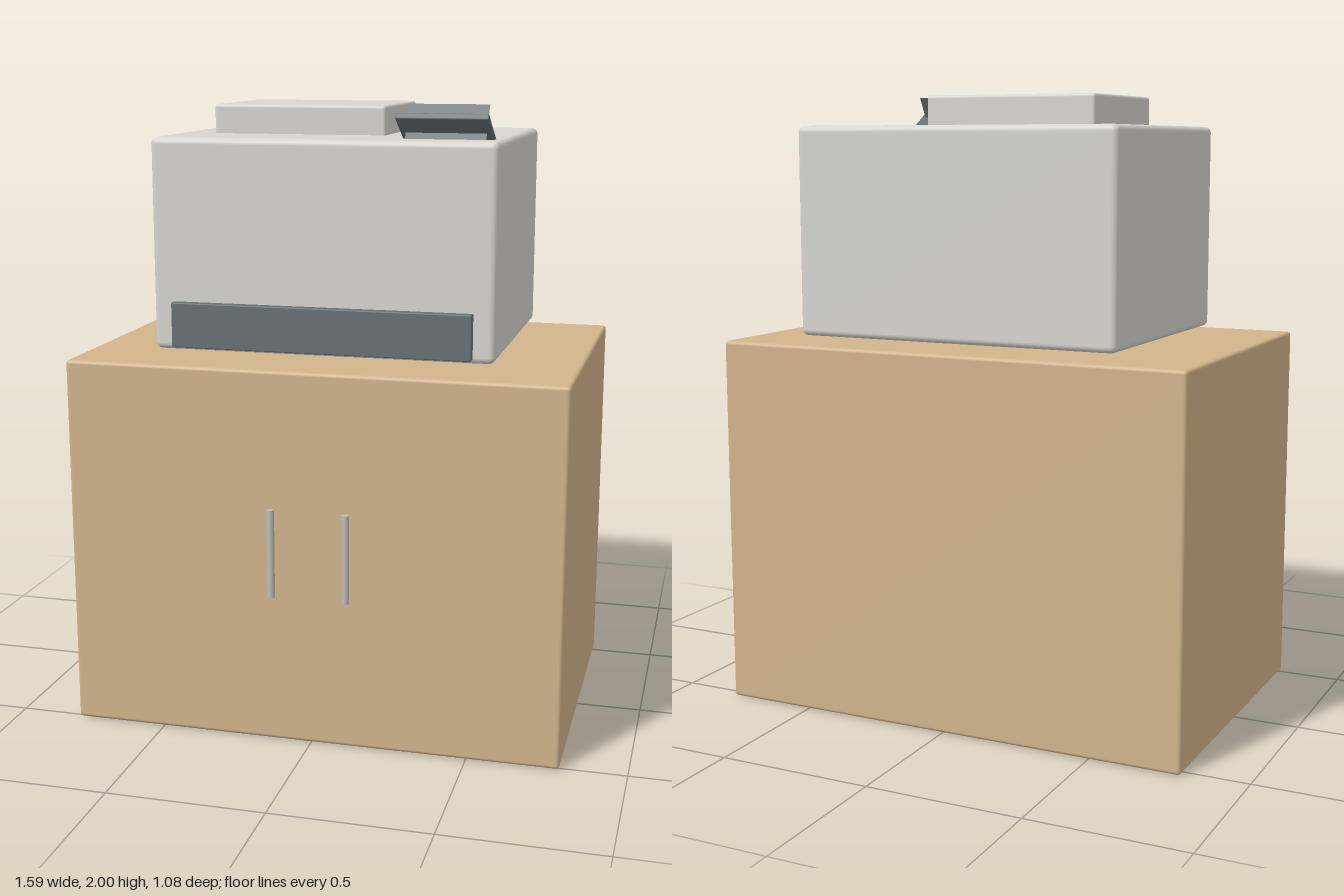
import * as THREE from 'three';
import { RoundedBoxGeometry } from 'three/addons/geometries/RoundedBoxGeometry.js';

function material(name, color, side = THREE.FrontSide) {
  const m = new THREE.MeshStandardMaterial({ color, side });
  m.name = name;
  return m;
}

export function createModel() {
  const model = new THREE.Group();
  model.name = 'printerOnCabinet';

  const wood = material('tanWood', 0xd2b48c);
  const shell = material('lightGrey', 0xd6d5d0);
  const dark = material('darkGrey', 0x667173, THREE.DoubleSide);
  const metal = material('handleMetal', 0xc0bcb4);

  function add(parent, name, geometry, mat, x = 0, y = 0, z = 0) {
    const mesh = new THREE.Mesh(geometry, mat);
    mesh.name = name;
    mesh.position.set(x, y, z);
    parent.add(mesh);
    return mesh;
  }

  // Rounded box given by its extents on each axis
  function block(name, mat, [x0, x1], [y0, y1], [z0, z1], radius) {
    const g = new RoundedBoxGeometry(x1 - x0, y1 - y0, z1 - z0, 4, radius);
    return add(model, name, g, mat, (x0 + x1) / 2, (y0 + y1) / 2, (z0 + z1) / 2);
  }

  // Cabinet with two upright door handles
  block('cabinet', wood, [-0.797, 0.792], [0.002, 1.207], [-0.542, 0.518], 0.012);
  for (const side of [-1, 1]) {
    add(model, side > 0 ? 'leftHandle' : 'rightHandle',
      new THREE.CylinderGeometry(0.012, 0.012, 0.285, 20), metal,
      side * 0.12 - 0.003, 0.628, 0.53);
  }

  // Dark patch on the underside
  const patch = new THREE.Shape([
    new THREE.Vector2(-0.785, 0.506),
    new THREE.Vector2(-0.785, -0.53),
    new THREE.Vector2(0, 0.506),
  ]);
  add(model, 'undersidePatch', new THREE.ShapeGeometry(patch).rotateX(Math.PI / 2), dark);

  // Printer body, raised lid and front paper tray
  block('printerBody', shell, [-0.549, 0.543], [1.23, 1.896], [-0.47, 0.375], 0.02);
  block('printerLid', shell, [-0.427, 0.139], [1.85, 1.988], [-0.349, 0.109], 0.01);
  block('paperTray', dark, [-0.482, 0.476], [1.242, 1.385], [0.3, 0.403], 0.004);

  // Tilted control panel with a thin screen standing across it
  const controls = new THREE.Group();
  controls.name = 'controlPanel';
  controls.position.set(0.369, 1.925, 0.287);
  controls.rotation.x = -Math.PI / 6;
  model.add(controls);
  add(controls, 'panel', new RoundedBoxGeometry(0.282, 0.02, 0.18, 3, 0.004), dark);
  add(controls, 'screen', new THREE.PlaneGeometry(0.248, 0.118), dark, 0, 0.028, 0);

  return model;
}
